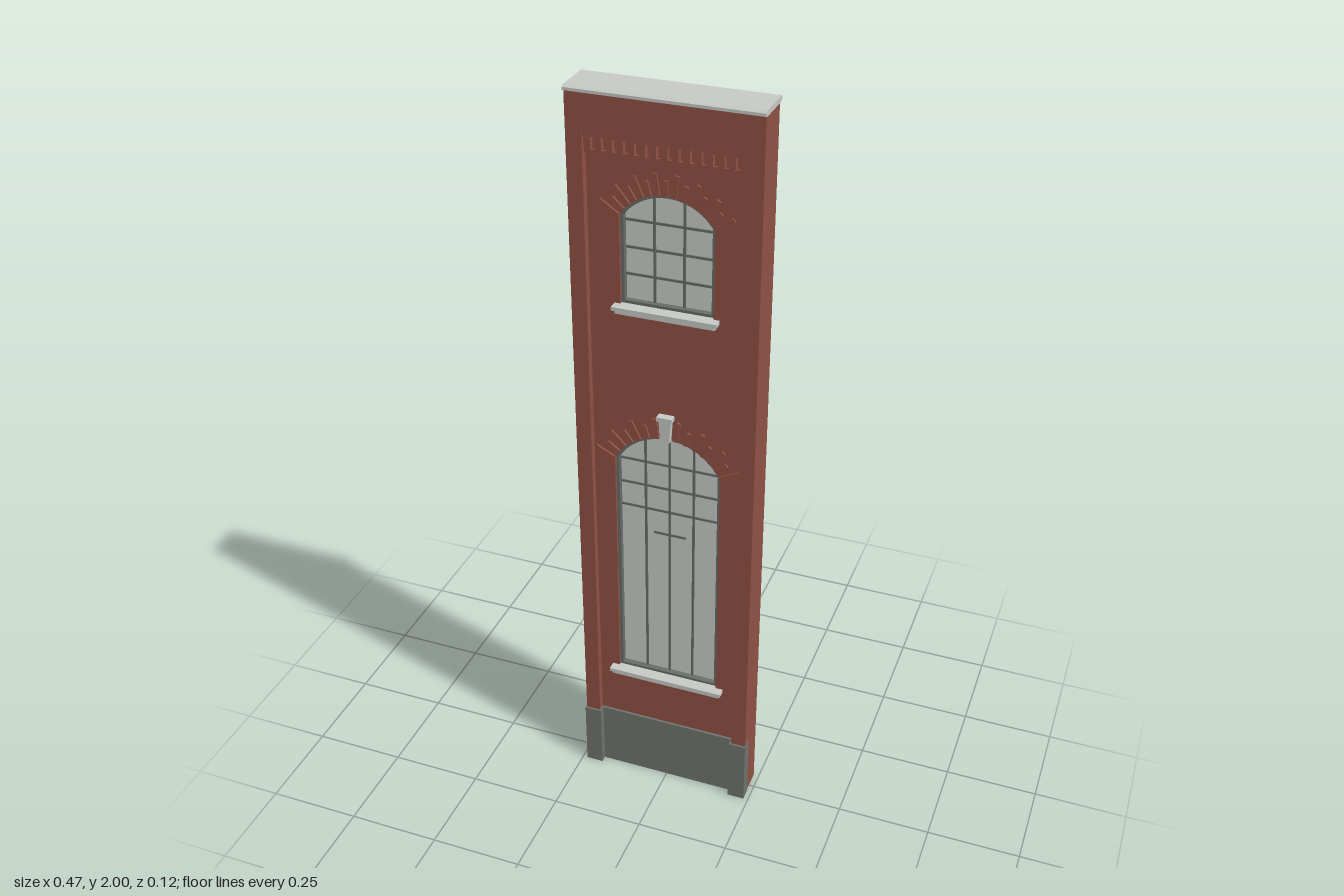
import * as THREE from 'three';

const mat = (name, color) => {
  const m = new THREE.MeshStandardMaterial({ color });
  m.name = name;
  return m;
};

export function createModel() {
  const model = new THREE.Group();
  model.name = 'brickWallBay';
  const brick = mat('brick red', 0x8f5043);
  const plinth = mat('plinth grey', 0x6e736c);
  const stone = mat('pale stone', 0xc6c9c5);
  const glass = mat('window pane', 0xc8ccc7);
  const iron = mat('window frame grey', 0x686d68);

  const add = (name, geo, material, parent = model) => {
    const m = new THREE.Mesh(geo, material);
    m.name = name;
    parent.add(m);
    return m;
  };
  // Box given by its limits on each axis
  const box = (name, x0, x1, y0, y1, z0, z1, material, parent) => {
    const m = add(name, new THREE.BoxGeometry(x1 - x0, y1 - y0, z1 - z0), material, parent);
    m.position.set((x0 + x1) / 2, (y0 + y1) / 2, (z0 + z1) / 2);
    return m;
  };
  const extrude = (shape, z0, z1) =>
    new THREE.ExtrudeGeometry(shape, { depth: z1 - z0, bevelEnabled: false, curveSegments: 20 }).translate(0, 0, z0);
  const rect = (x0, x1, y0, y1) => new THREE.Shape([
    new THREE.Vector2(x0, y0), new THREE.Vector2(x1, y0), new THREE.Vector2(x1, y1), new THREE.Vector2(x0, y1)]);

  // Segmental arched opening, optionally inset by t
  const arch = (o, t = 0) => {
    const w = o.w - t, r = o.r - t;
    const a = Math.acos(w / r);
    const s = new THREE.Shape();
    s.moveTo(-w, o.y0 + t);
    s.lineTo(w, o.y0 + t);
    s.lineTo(w, o.cy + r * Math.sin(a));
    s.absarc(0, o.cy, r, a, Math.PI - a, false);
    s.closePath();
    return s;
  };
  const opening = (name, w, y0, spring, top) => {
    const h = top - spring, r = (w * w + h * h) / (2 * h);
    return { name, w, y0, top, r, cy: top - r };
  };
  const lower = opening('lowerWindow', 0.14, 0.355, 1.035, 1.12);
  const upper = opening('upperWindow', 0.117, 1.472, 1.7, 1.762);

  // Recessed wall panel pierced by both windows
  const wall = rect(-0.235, 0.235, 0, 1.99);
  wall.holes.push(arch(lower), arch(upper));
  add('wall', extrude(wall, -0.045, 0.03), brick);

  // Pilasters and frieze in front of the panel
  for (const s of [-1, 1]) {
    const x0 = s < 0 ? -0.235 : 0.195, x1 = s < 0 ? -0.195 : 0.235;
    box('pilaster', x0, x1, 0, 1.99, 0.03, 0.05, brick);
    box('pilasterPlinth', s < 0 ? -0.237 : 0.19, s < 0 ? -0.19 : 0.237, 0, 0.19, 0.022, 0.056, plinth);
  }
  box('frieze', -0.195, 0.195, 1.897, 1.99, 0.03, 0.05, brick);
  box('panelPlinth', -0.19, 0.19, 0, 0.19, 0.02, 0.037, plinth);

  // Dentil course under the frieze
  box('dentilTopBand', -0.195, 0.195, 1.885, 1.897, 0.03, 0.046, brick);
  box('dentilBottomBand', -0.195, 0.195, 1.842, 1.852, 0.03, 0.037, brick);
  for (let i = 0; i < 15; i++) {
    const x = (i - 7) * 0.0265;
    box('dentil', x - 0.008, x + 0.008, 1.852, 1.885, 0.03, 0.044, brick);
  }

  // Coping with chamfered edges
  const p = [[-0.05, 1.986], [-0.059, 1.989], [-0.059, 1.996], [-0.053, 2], [0.05, 2], [0.057, 1.996], [0.057, 1.989], [0.05, 1.986]];
  const coping = new THREE.Shape(p.map(([z, y]) => new THREE.Vector2(-z, y)));
  add('coping', extrude(coping, -0.236, 0.236).rotateY(Math.PI / 2), stone);

  // Windows: frame, pane, glazing bars, sills and radial arch bricks
  const buildWindow = (o, bars, rows, sillW) => {
    const g = new THREE.Group();
    g.name = o.name;
    model.add(g);
    const t = 0.008;
    const frame = arch(o);
    frame.holes.push(arch(o, t));
    add('frame', extrude(frame, -0.008, 0.022), iron, g);
    add('pane', extrude(arch(o, t / 2), 0.001, 0.007), glass, g);

    const r = o.r - t / 2;
    for (const x of bars) {
      box('verticalBar', x - 0.003, x + 0.003, o.y0, o.cy + Math.sqrt(r * r - x * x), -0.003, 0.011, iron, g);
    }
    for (const y of rows) {
      const d = y - o.cy;
      const half = Math.min(o.w - t / 2, Math.sqrt(Math.max(0, r * r - d * d)));
      box('horizontalBar', -half, half, y - 0.003, y + 0.003, -0.002, 0.01, iron, g);
    }

    box('sillTop', -sillW, sillW, o.y0 - 0.009, o.y0 + 0.001, 0.015, 0.054, stone, g);
    box('sillBase', -sillW + 0.006, sillW - 0.006, o.y0 - 0.019, o.y0 - 0.009, 0.025, 0.047, stone, g);
    box('backSill', -o.w, o.w, o.y0 - 0.004, o.y0 + 0.004, -0.048, -0.008, brick, g);

    const a0 = Math.acos(o.w / o.r), n = 15;
    for (let i = 0; i < n; i++) {
      const a = a0 + (Math.PI - 2 * a0) * i / (n - 1);
      const len = i % 2 ? 0.038 : 0.055;
      const v = add('archBrick', new THREE.BoxGeometry(len, 0.011, 0.007), brick, g);
      const m = o.r + 0.001 + len / 2;
      v.position.set(Math.cos(a) * m, o.cy + Math.sin(a) * m, 0.0325);
      v.rotation.z = a;
    }
  };
  const rows = (n, y, step) => Array.from({ length: n }, (_, i) => y + i * step);
  buildWindow(lower, [-0.065, 0, 0.065], rows(10, 0.391, 0.0706), 0.16);
  buildWindow(upper, [-0.037, 0.037], rows(3, 1.545, 0.069), 0.132);

  // Tapered keystone with a cap
  const key = new THREE.Shape([[-0.012, 1.118], [0.012, 1.118], [0.016, 1.178], [-0.016, 1.178]]
    .map(([x, y]) => new THREE.Vector2(x, y)));
  add('keystone', extrude(key, 0.025, 0.046), stone);
  box('keystoneCap', -0.02, 0.02, 1.178, 1.19, 0.025, 0.05, stone);

  return model;
}
